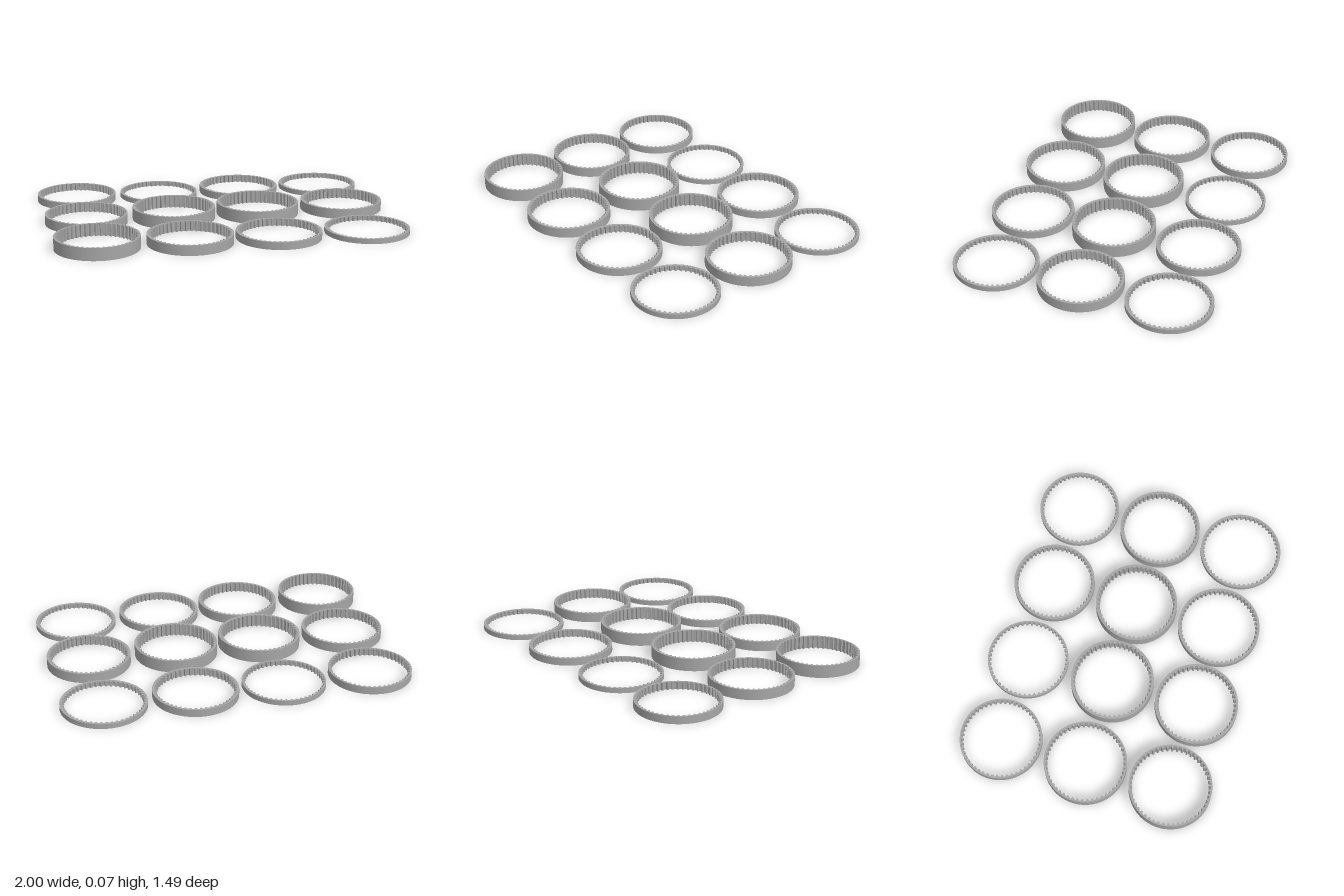
import * as THREE from 'three';
import { toCreasedNormals } from 'three/addons/utils/BufferGeometryUtils.js';

const TEETH = 50;
const ROOT = 0.227; // inner radius between the teeth
const TIP = 0.217; // inner radius at the tooth tips

// Ring outline with trapezoid teeth cut into the hole
function ringShape(radius) {
  const shape = new THREE.Shape();
  shape.absarc(0, 0, radius, 0, Math.PI * 2, false);
  const points = [];
  const profile = [[0, ROOT], [0.46, ROOT], [0.58, TIP], [0.88, TIP]];
  for (let i = 0; i < TEETH; i++) {
    for (const [t, r] of profile) {
      const a = ((i + t) / TEETH) * Math.PI * 2;
      points.push(new THREE.Vector2(Math.cos(a) * r, Math.sin(a) * r));
    }
  }
  shape.holes.push(new THREE.Path(points.reverse()));
  return shape;
}

// Toothed ring lying flat on the ground
function ringGeometry(radius, height) {
  const geometry = new THREE.ExtrudeGeometry(ringShape(radius), {
    depth: height, bevelEnabled: false, curveSegments: 72,
  });
  geometry.rotateX(-Math.PI / 2);
  return toCreasedNormals(geometry, 0.3);
}

export function createModel() {
  const group = new THREE.Group();
  group.name = 'toothedRings';
  const grey = new THREE.MeshStandardMaterial({ color: 0xa6a6a6 });
  grey.name = 'grey';

  // Four columns by three rows: [x, z, outer radius, height]
  const rows = {
    back: [
      [-0.763, -0.511, 0.236, 0.043], [-0.256, -0.511, 0.236, 0.029],
      [0.248, -0.507, 0.24, 0.043], [0.76, -0.507, 0.24, 0.029],
    ],
    middle: [
      [-0.763, -0.006, 0.237, 0.057], [-0.253, 0.002, 0.24, 0.072],
      [0.248, 0.002, 0.24, 0.072], [0.76, 0.002, 0.24, 0.057],
    ],
    front: [
      [-0.763, 0.494, 0.236, 0.072], [-0.253, 0.507, 0.24, 0.057],
      [0.248, 0.507, 0.24, 0.043], [0.76, 0.507, 0.24, 0.029],
    ],
  };

  for (const [rowName, rings] of Object.entries(rows)) {
    rings.forEach(([x, z, radius, height], i) => {
      const ring = new THREE.Mesh(ringGeometry(radius, height), grey);
      ring.name = `${rowName}Ring${i + 1}`;
      ring.position.set(x, 0, z);
      group.add(ring);
    });
  }
  return group;
}
